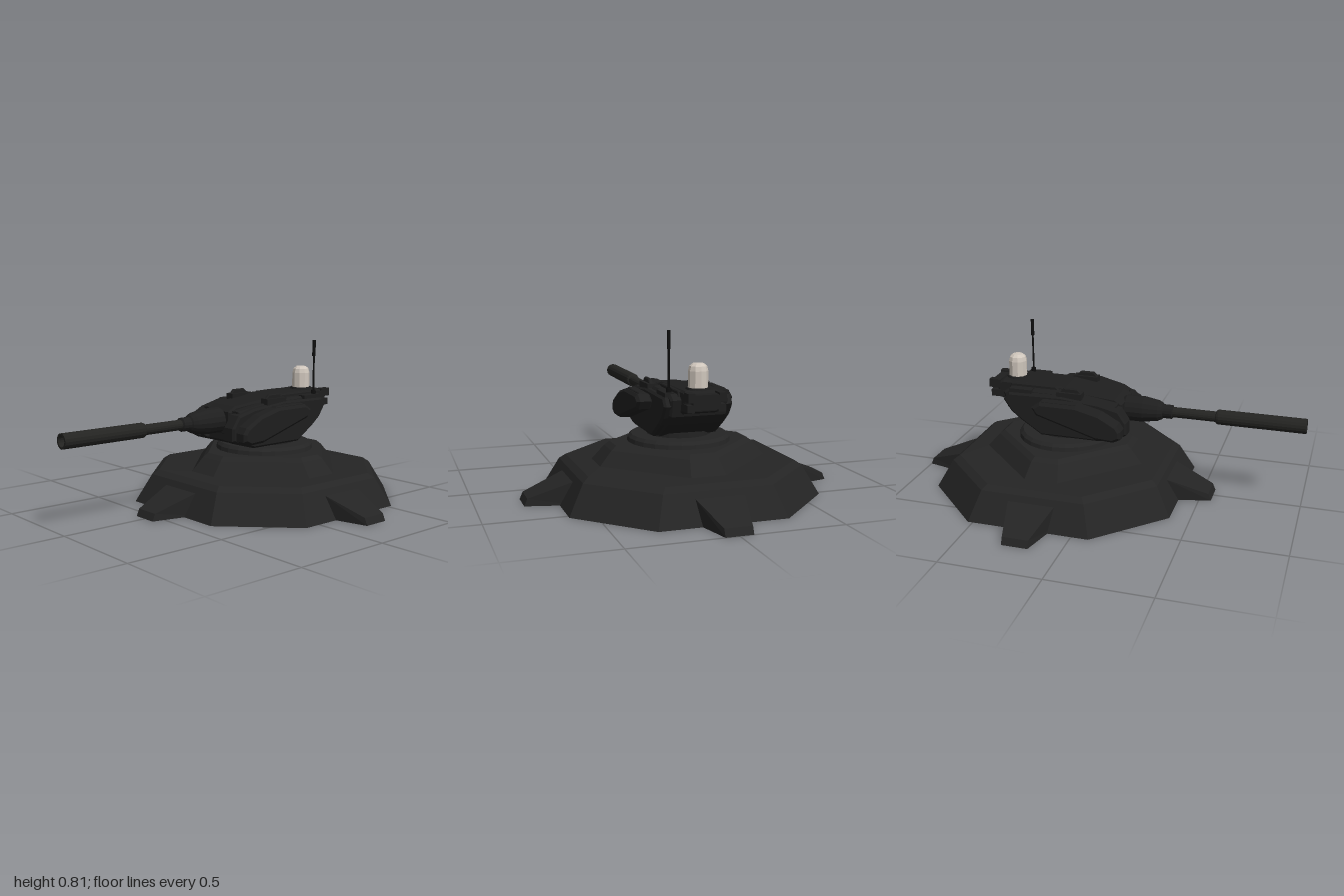
import * as THREE from 'three';

const mat = (name, color, side = THREE.FrontSide) => {
  const m = new THREE.MeshStandardMaterial({ color, side, flatShading: true });
  m.name = name;
  return m;
};

export function createModel() {
  const root = new THREE.Group();
  root.name = 'gunTurret';
  const hull = mat('baseCharcoal', 0x242424, THREE.DoubleSide);
  const armour = mat('turretBlack', 0x1e1e1e);
  const metal = mat('barrelMetal', 0x232321);
  const black = mat('antennaBlack', 0x0e0e0e);
  const lampMat = mat('lampIvory', 0xcfc6bc);
  const CZ = -0.22; // centre of the emplacement

  function add(name, geo, material, parent = root, x = 0, y = 0, z = 0) {
    const m = new THREE.Mesh(geo, material);
    m.name = name;
    m.position.set(x, y, z);
    parent.add(m);
    return m;
  }

  // Skin between matching cross-sections
  function loft(rings, closed = true, capEnd = true) {
    const pos = [];
    const tri = (...p) => p.forEach((v) => pos.push(...v));
    const n = rings[0].length;
    for (let r = 0; r < rings.length - 1; r++) {
      for (let i = 0; i < (closed ? n : n - 1); i++) {
        const j = (i + 1) % n, a = rings[r], b = rings[r + 1];
        tri(a[i], a[j], b[j]);
        tri(a[i], b[j], b[i]);
      }
    }
    const e = rings[rings.length - 1];
    if (capEnd) for (let i = 1; i < n - 1; i++) tri(e[0], e[i], e[i + 1]);
    const g = new THREE.BufferGeometry();
    g.setAttribute('position', new THREE.Float32BufferAttribute(pos, 3));
    g.computeVertexNormals();
    return g;
  }

  // Side outline in (z, y), extruded from x0 to x1 with chamfered edges
  function slab(points, x0, x1, bevel = 0.01) {
    const shape = new THREE.Shape(points.map(([z, y]) => new THREE.Vector2(z, y)));
    const g = new THREE.ExtrudeGeometry(shape, {
      depth: x1 - x0 - 2 * bevel, bevelEnabled: bevel > 0, bevelSegments: 1,
      bevelSize: bevel, bevelOffset: -bevel, bevelThickness: bevel,
    });
    g.rotateY(-Math.PI / 2);
    g.translate(x1 - bevel, 0, 0);
    return g;
  }

  // Round part along z from [radius, z] pairs
  function turned(profile, sides = 16) {
    const g = new THREE.LatheGeometry(profile.map(([r, z]) => new THREE.Vector2(r, z)), sides);
    g.rotateX(Math.PI / 2);
    return g;
  }

  // Stepped octagonal emplacement, hollow below
  const base = new THREE.Group();
  base.name = 'base';
  base.position.z = CZ;
  root.add(base);
  const octagon = ([h, c, y]) => [
    [h, -c], [c, -h], [-c, -h], [-h, -c], [-h, c], [-c, h], [c, h], [h, c],
  ].map(([x, z]) => [x, y, z]);
  add('steppedBase', loft([
    [0.62, 0.305, 0], [0.545, 0.26, 0.14], [0.515, 0.24, 0.163], [0.42, 0.085, 0.166],
    [0.36, 0.07, 0.235], [0.335, 0.06, 0.255],
  ].map(octagon)), hull, base);

  // Four tapering anchor spurs, open below
  const arch = (w, z0, z1, y) => [[w, 0, z0], [w, y, z1], [-w, y, z1], [-w, 0, z0]];
  const spurGeo = loft([arch(0.12, 0.55, 0.55, 0.115), arch(0.065, 0.78, 0.765, 0.035)], false);
  for (let i = 0; i < 4; i++) add('anchorSpur', spurGeo, hull, base).rotation.y = i * Math.PI / 2;

  // Turning ring
  add('turntable', new THREE.LatheGeometry(
    [[0.255, 0.25], [0.25, 0.275], [0.235, 0.29], [0, 0.29]].map((p) => new THREE.Vector2(...p)), 24), hull, base);
  add('turntableNeck', new THREE.CylinderGeometry(0.15, 0.16, 0.03, 20), armour, base, 0, 0.295);

  // Turret hull
  const turret = new THREE.Group();
  turret.name = 'turret';
  root.add(turret);
  add('turretHull', slab([
    [0.08, 0.33], [0, 0.297], [-0.32, 0.297], [-0.43, 0.37], [-0.5, 0.42], [-0.52, 0.5],
    [-0.48, 0.525], [-0.2, 0.525], [0.08, 0.485],
  ], -0.14, 0.14), armour, turret);
  add('roofSpine', slab([
    [0.1, 0.37], [0, 0.33], [-0.4, 0.4], [-0.56, 0.45], [-0.58, 0.53], [-0.54, 0.545],
    [-0.2, 0.54], [-0.14, 0.525], [0.06, 0.505], [0.1, 0.48],
  ], -0.09, 0.09), armour, turret);
  add('rearPack', new THREE.BoxGeometry(0.13, 0.07, 0.1), armour, turret, 0, 0.5, -0.56);

  for (const s of [-1, 1]) {
    const mirror = (a, b) => (s > 0 ? [a, b] : [-b, -a]);
    add('cheek', slab([
      [0.14, 0.345], [0.1, 0.325], [0, 0.297], [-0.31, 0.297], [-0.42, 0.37], [-0.47, 0.41],
      [-0.51, 0.47], [-0.48, 0.51], [-0.2, 0.515], [0, 0.495], [0.1, 0.47], [0.14, 0.41],
    ], ...mirror(0.09, 0.168)), armour, turret);
    add('sideArmour', slab([
      [0.13, 0.35], [0.09, 0.33], [0, 0.335], [-0.18, 0.39], [-0.31, 0.43], [-0.335, 0.47],
      [-0.29, 0.5], [-0.1, 0.5], [0.02, 0.47], [0.11, 0.42], [0.13, 0.39],
    ], ...mirror(0.163, 0.243), 0.014), armour, turret);
    add('armourRib', slab([
      [-0.06, 0.47], [-0.31, 0.47], [-0.28, 0.506], [-0.1, 0.506],
    ], ...mirror(0.185, 0.225), 0.004), armour, turret);

    // Roof details
    add('roofRail', slab([
      [-0.22, 0.51], [-0.5, 0.51], [-0.49, 0.54], [-0.25, 0.54],
    ], ...mirror(0.07, 0.1), 0.004), armour, turret);
    add('launcherBox', slab([
      [-0.1, 0.48], [-0.21, 0.48], [-0.21, 0.535], [-0.19, 0.555], [-0.12, 0.555], [-0.1, 0.535],
    ], ...mirror(0.125, 0.145), 0.004), armour, turret);
    add('launcherStep', new THREE.BoxGeometry(0.05, 0.05, 0.13), armour, turret, s * 0.135, 0.51, -0.16);
    add('cheekHatch', new THREE.BoxGeometry(0.045, 0.03, 0.12), armour, turret, s * 0.135, 0.515, -0.42);

    // Rear stowage blocks
    add('rearBlockUpper', new THREE.BoxGeometry(0.035, 0.042, 0.06), armour, turret, s * 0.075, 0.523, -0.585);
    add('rearBlockLower', new THREE.BoxGeometry(0.035, 0.035, 0.07), armour, turret, s * 0.075, 0.472, -0.57);
  }

  // Gun: mantlet, sleeve, barrel and muzzle
  const gun = new THREE.Group();
  gun.name = 'gun';
  gun.position.y = 0.433;
  root.add(gun);
  add('mantlet', turned([
    [0.035, 0.04], [0.065, 0.1], [0.065, 0.19], [0.052, 0.265], [0.042, 0.285], [0.035, 0.29],
    [0.035, 0.335], [0.026, 0.34],
  ].reverse().map(([r, z]) => [r, z]).reverse()), armour, gun);
  add('barrel', turned([[0.026, 0.28], [0.026, 0.565]]), metal, gun);
  add('muzzleSleeve', turned([
    [0.024, 0.555], [0.034, 0.56], [0.037, 0.57], [0.037, 1], [0.027, 1], [0.024, 0.97], [0, 0.97],
  ]), metal, gun);

  // Beacon lamp
  add('beaconBase', new THREE.CylinderGeometry(0.055, 0.06, 0.015, 16), armour, root, 0, 0.545, -0.49);
  add('beaconLamp', new THREE.LatheGeometry(
    [[0.047, 0.54], [0.047, 0.63], [0.041, 0.652], [0.026, 0.664], [0, 0.667]].map((p) => new THREE.Vector2(...p)), 10),
  lampMat, root, 0, 0, -0.49);

  // Whip antenna
  const antenna = new THREE.Group();
  antenna.name = 'antenna';
  antenna.position.set(0.13, 0, -0.455);
  root.add(antenna);
  add('antennaFoot', new THREE.CylinderGeometry(0.012, 0.015, 0.04, 8), black, antenna, 0, 0.53);
  add('antennaRod', new THREE.CylinderGeometry(0.005, 0.005, 0.22, 8), black, antenna, 0, 0.63);
  add('antennaTip', new THREE.CylinderGeometry(0.009, 0.009, 0.085, 8), black, antenna, 0, 0.772);

  return root;
}
